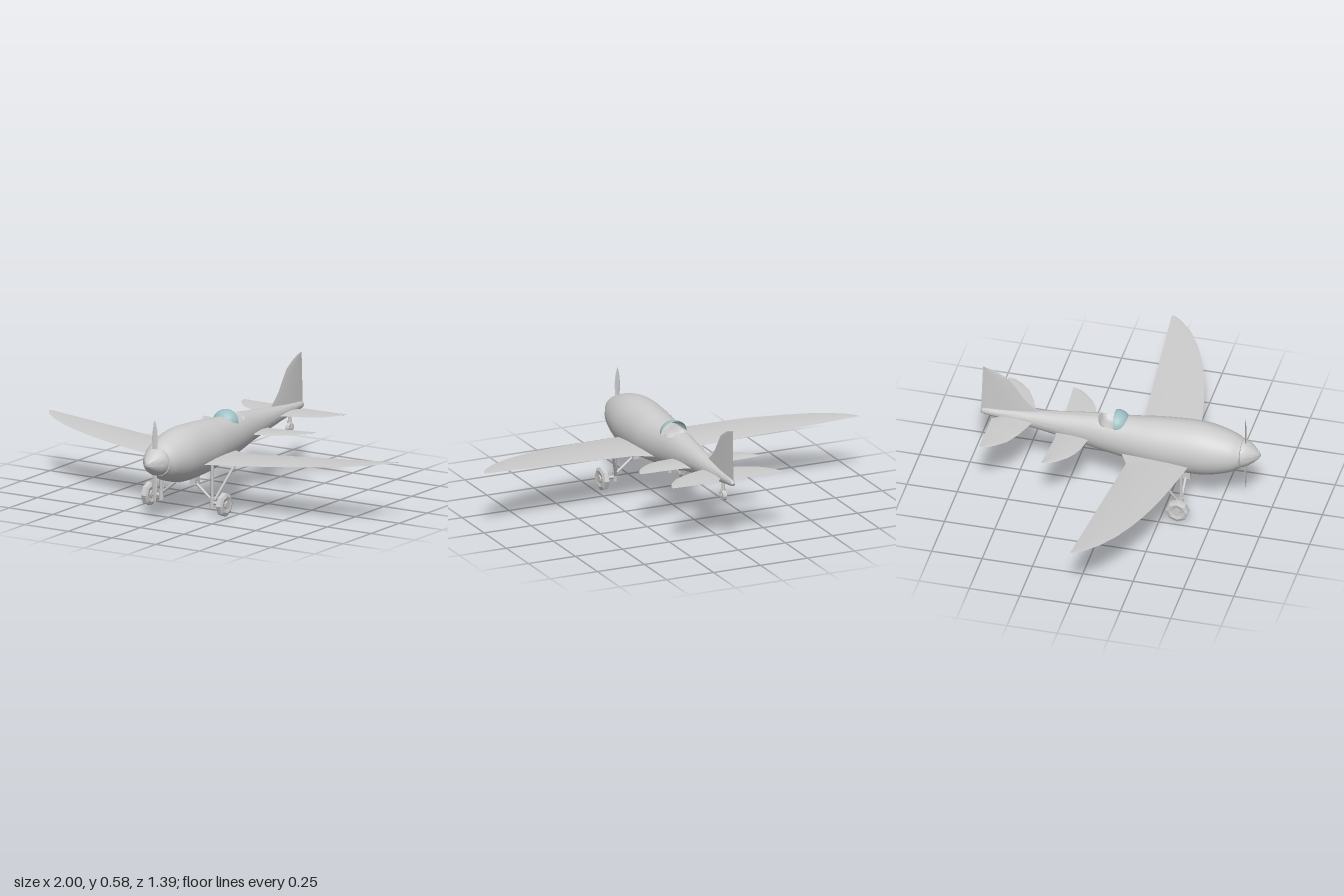
import * as THREE from 'three';
import { toCreasedNormals } from 'three/addons/utils/BufferGeometryUtils.js';

const grey = new THREE.MeshStandardMaterial({ color: 0xcccccc });
const thin = new THREE.MeshStandardMaterial({ color: 0xcccccc, side: THREE.DoubleSide });
const faceted = new THREE.MeshStandardMaterial({ color: 0xcccccc, flatShading: true });
const glass = new THREE.MeshStandardMaterial({ color: 0x9fc0c4, side: THREE.DoubleSide });

function add(parent, name, geometry, material = grey) {
  const mesh = new THREE.Mesh(geometry, material);
  mesh.name = name;
  parent.add(mesh);
  return mesh;
}

// Skin over a list of equal closed rings, with a fan cap on each end
function loft(rings, crease = 0.6) {
  const n = rings[0].length, pos = [], index = [];
  rings.forEach(r => r.forEach(p => pos.push(p.x, p.y, p.z)));
  for (let k = 0; k < rings.length - 1; k++) {
    for (let j = 0; j < n; j++) {
      const a = k * n + j, b = k * n + (j + 1) % n;
      index.push(a, a + n, b, b, a + n, b + n);
    }
  }
  const last = (rings.length - 1) * n;
  for (let j = 1; j < n - 1; j++) {
    index.push(0, j, j + 1, last, last + j + 1, last + j);
  }
  const g = new THREE.BufferGeometry();
  g.setAttribute('position', new THREE.Float32BufferAttribute(pos, 3));
  g.setIndex(index);
  return toCreasedNormals(g, crease);
}

// Thin lens section swept along x; rows run tip to root: [x, leading z, trailing z, y, thickness]
function foil(rows, n = 16) {
  return loft(rows.map(([x, lead, trail, y, t]) => Array.from({ length: n }, (_, j) => {
    const a = (j / n) * Math.PI * 2;
    return new THREE.Vector3(x, y + Math.sin(a) * Math.abs(Math.sin(a)) * t / 2,
      (lead + trail) / 2 - Math.cos(a) * (lead - trail) / 2);
  })), 0.5);
}

const bothSides = rows => [...rows, ...rows.map(([x, ...rest]) => [-x, ...rest]).reverse()];

function rod(parent, name, from, to, radius) {
  const a = new THREE.Vector3(...from), b = new THREE.Vector3(...to);
  const mesh = add(parent, name, new THREE.CylinderGeometry(radius, radius, a.distanceTo(b), 10));
  mesh.position.copy(a).lerp(b, 0.5);
  mesh.quaternion.setFromUnitVectors(new THREE.Vector3(0, 1, 0), b.sub(a).normalize());
  return mesh;
}

// Fuselage with a scooped cockpit opening
function fuselage() {
  const stations = [ // z, top, bottom, half width
    [0.603, 0.366, 0.226, 0.075], [0.55, 0.393, 0.195, 0.098], [0.45, 0.42, 0.166, 0.119],
    [0.35, 0.428, 0.158, 0.123], [0.2, 0.42, 0.165, 0.116], [0.1, 0.41, 0.177, 0.103],
    [0, 0.402, 0.191, 0.088], [-0.1, 0.398, 0.208, 0.076], [-0.2, 0.387, 0.23, 0.064],
    [-0.4, 0.364, 0.265, 0.043], [-0.55, 0.349, 0.287, 0.026], [-0.64, 0.341, 0.299, 0.018],
    [-0.685, 0.335, 0.305, 0.012], [-0.697, 0.324, 0.314, 0.005]];
  const heights = new THREE.CatmullRomCurve3(stations.map(s => new THREE.Vector3(s[0], s[1], s[2])), false, 'catmullrom');
  const widths = new THREE.CatmullRomCurve3(stations.map(s => new THREE.Vector3(s[3], 0, 0)), false, 'catmullrom');
  const rings = [], steps = 208, n = 48;
  for (let i = 0; i <= steps; i++) {
    const { x: z, y: top, z: bottom } = heights.getPoint(i / steps);
    const w = widths.getPoint(i / steps).x, mid = (top + bottom) / 2, h = (top - bottom) / 2;
    const along = (z + 0.055) / 0.056; // -1..1 across the opening
    const rim = 0.374 + 0.03 * Math.pow(Math.abs(along), 6);
    rings.push(Array.from({ length: n }, (_, j) => {
      const a = (j / n) * Math.PI * 2, x = Math.cos(a) * w;
      let y = mid + Math.sin(a) * h;
      if (Math.abs(along) < 1 && y > rim) {
        y = rim - Math.min(0.03, (y - rim) * 2) * (1 - along * along);
      }
      return new THREE.Vector3(x, y, z);
    }));
  }
  return loft(rings, 0.7);
}

function mainGear(side) {
  const gear = new THREE.Group();
  gear.name = side > 0 ? 'leftLandingGear' : 'rightLandingGear';
  const z = 0.335, y = 0.058;
  const tyre = new THREE.LatheGeometry([[0.018, -0.012], [0.042, -0.018], [0.058, -0.011],
    [0.058, 0.011], [0.042, 0.018], [0.018, 0.012]].map(p => new THREE.Vector2(...p)), 8);
  add(gear, 'tyre', tyre.rotateZ(Math.PI / 2), faceted).position.set(side * 0.214, y, z);
  rod(gear, 'hub', [side * 0.194, y, z], [side * 0.234, y, z], 0.02);
  rod(gear, 'axle', [side * 0.14, y, z], [side * 0.2, y, z], 0.009);
  rod(gear, 'axleBlock', [side * 0.146, 0.037, z], [side * 0.146, 0.085, z], 0.012);
  rod(gear, 'frontLeg', [side * 0.146, 0.06, z], [side * 0.146, 0.25, z], 0.008);
  rod(gear, 'rearLeg', [side * 0.15, 0.07, 0.32], [side * 0.214, 0.252, 0.22], 0.007);
  rod(gear, 'innerBrace', [side * 0.146, 0.07, z], [side * 0.03, 0.162, z], 0.007);
  add(gear, 'braceMount', new THREE.BoxGeometry(0.03, 0.04, 0.045)).position.set(side * 0.045, 0.158, z);
  return gear;
}

export function createModel() {
  const plane = new THREE.Group();
  plane.name = 'airplane';
  add(plane, 'fuselage', fuselage(), thin);

  // Nose cone and the dark gap plate behind it
  const cone = [[0, 0.6], [0.07, 0.605], [0.068, 0.616], [0.057, 0.637], [0.039, 0.662], [0.018, 0.685], [0.007, 0.693], [0, 0.695]];
  const spinner = new THREE.LatheGeometry(cone.map(p => new THREE.Vector2(...p)), 40).rotateX(Math.PI / 2);
  add(plane, 'spinner', toCreasedNormals(spinner, 0.7)).position.y = 0.298;

  // Two propeller blades
  const turn = new THREE.Matrix4().makeBasis(new THREE.Vector3(0, 1, 0), new THREE.Vector3(0, 0, 1), new THREE.Vector3(1, 0, 0));
  for (let i = 0; i < 2; i++) {
    const blade = foil([[0.204, 0.001, -0.001, 0, 0.002], [0.19, 0.007, -0.006, 0, 0.004], [0.16, 0.013, -0.011, 0, 0.005],
      [0.12, 0.017, -0.015, 0, 0.006], [0.08, 0.014, -0.013, 0, 0.007], [0.03, 0.008, -0.008, 0, 0.008]]);
    blade.applyMatrix4(turn).rotateY(0.12).rotateZ(i * Math.PI);
    add(plane, 'propellerBlade', blade).position.set(0, 0.298, 0.619);
  }

  // Main wing: curved leading edge, nearly straight trailing edge, slight dihedral
  const wing = [[1, 0.002], [0.99, 0.025], [0.965, 0.06], [0.9, 0.12], [0.8, 0.18], [0.7, 0.225], [0.6, 0.26],
    [0.5, 0.288], [0.4, 0.311], [0.3, 0.33], [0.2, 0.347], [0.16, 0.353], [0.13, 0.358], [0.1, 0.362], [0.05, 0.365]]
    .map(([x, lead]) => [x, lead, (1 - x) * 0.077 - Math.max(0, 0.16 - x) * 0.6,
      0.246 + 0.056 * Math.max(0, x - 0.1) / 0.9, 0.002 + 0.026 * (1 - x)]);
  add(plane, 'wing', foil(bothSides(wing)));

  // Middle and rear stabilizers
  add(plane, 'middleStabilizer', foil(bothSides([
    [0.318, -0.31, -0.317, 0.298, 0.002], [0.308, -0.28, -0.316, 0.297, 0.004], [0.285, -0.245, -0.315, 0.296, 0.006],
    [0.245, -0.205, -0.313, 0.294, 0.008], [0.2, -0.178, -0.311, 0.293, 0.01], [0.15, -0.16, -0.308, 0.291, 0.012],
    [0.075, -0.148, -0.305, 0.288, 0.014], [0.055, -0.143, -0.312, 0.287, 0.014], [0.03, -0.14, -0.32, 0.286, 0.014]])));
  add(plane, 'rearStabilizer', foil(bothSides([
    [0.292, -0.62, -0.631, 0.319, 0.002], [0.285, -0.595, -0.631, 0.319, 0.003], [0.265, -0.56, -0.631, 0.319, 0.004],
    [0.22, -0.511, -0.631, 0.318, 0.005], [0.15, -0.472, -0.631, 0.318, 0.006], [0.09, -0.449, -0.631, 0.318, 0.007],
    [0.048, -0.436, -0.631, 0.317, 0.008], [0.03, -0.432, -0.6, 0.317, 0.008], [0.01, -0.43, -0.59, 0.317, 0.008]])));

  // Tail fin, built lying along x and stood upright
  const fin = [[0.582, -0.679], [0.576, -0.65], [0.56, -0.612], [0.522, -0.55], [0.475, -0.516], [0.427, -0.483], [0.39, -0.448], [0.362, -0.412], [0.33, -0.4]]
    .map(([y, lead]) => [y, lead, -0.685 - (0.582 - y) * 0.04, 0, 0.003 + (0.58 - y) * 0.03 + 0.001]);
  add(plane, 'tailFin', foil(fin).rotateZ(Math.PI / 2));

  // Windshield: front quarter of a dome, leaning back
  const windshield = add(plane, 'windshield', new THREE.SphereGeometry(1, 32, 16, 0, Math.PI, 0, Math.PI / 2), glass);
  windshield.scale.set(0.068, 0.061, 0.062);
  windshield.position.set(0, 0.37, -0.018);
  windshield.rotation.x = -0.2;

  // Undercarriage
  for (const side of [1, -1]) plane.add(mainGear(side));
  const tailGear = new THREE.Group();
  tailGear.name = 'tailWheel';
  rod(tailGear, 'tyre', [-0.01, 0.226, -0.578], [0.01, 0.226, -0.578], 0.024).material = faceted;
  rod(tailGear, 'hub', [-0.014, 0.226, -0.578], [0.014, 0.226, -0.578], 0.009);
  for (const side of [1, -1]) {
    rod(tailGear, 'fork', [side * 0.013, 0.226, -0.578], [side * 0.008, 0.262, -0.578], 0.004);
  }
  rod(tailGear, 'strut', [0, 0.255, -0.578], [0, 0.31, -0.578], 0.009);
  plane.add(tailGear);
  return plane;
}
